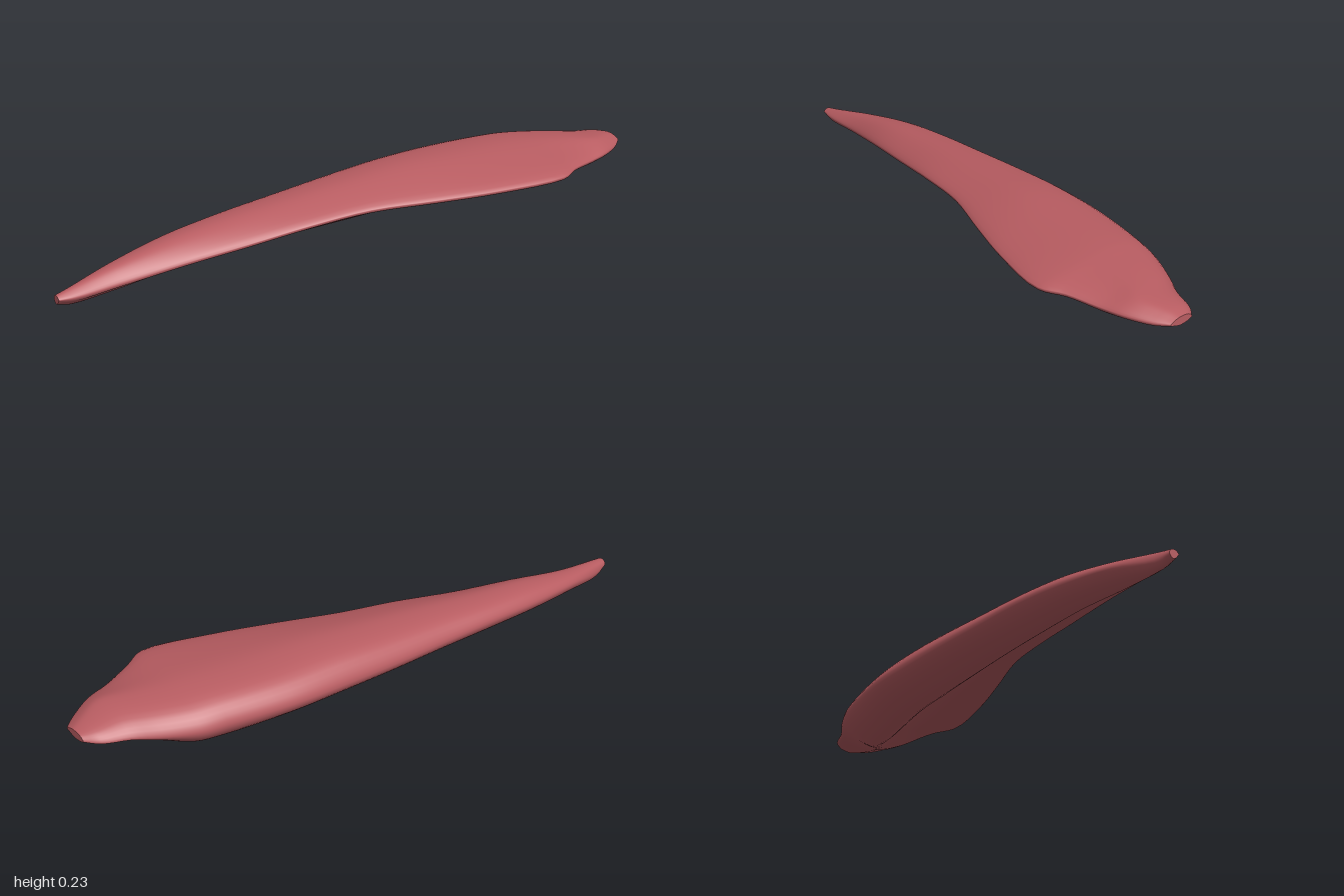
import * as THREE from 'three';

// Stations along the belly: z, thin edge x y, crest x y, outer side x y, lower ridge x y
const STATIONS = [
  [1.0, -0.165, 0.04, -0.18, 0.05, -0.2, 0.035, -0.185, 0.02],
  [0.95, -0.155, 0.04, -0.185, 0.06, -0.212, 0.03, -0.195, 0.002],
  [0.8, -0.14, 0.05, -0.19, 0.09, -0.24, 0.06, -0.185, 0.01],
  [0.6, -0.095, 0.08, -0.18, 0.13, -0.26, 0.085, -0.18, 0.025],
  [0.4, -0.05, 0.105, -0.165, 0.155, -0.262, 0.105, -0.165, 0.035],
  [0.2, 0.0, 0.135, -0.14, 0.178, -0.256, 0.115, -0.145, 0.045],
  [0.0, 0.05, 0.155, -0.115, 0.2, -0.25, 0.125, -0.125, 0.05],
  [-0.2, 0.13, 0.165, -0.09, 0.22, -0.238, 0.135, -0.105, 0.055],
  [-0.4, 0.205, 0.175, -0.06, 0.226, -0.22, 0.145, -0.085, 0.058],
  [-0.62, 0.26, 0.187, -0.02, 0.23, -0.172, 0.15, -0.04, 0.055],
  [-0.7, 0.225, 0.187, 0.01, 0.226, -0.15, 0.15, -0.02, 0.065],
  [-0.8, 0.195, 0.18, 0.06, 0.22, -0.1, 0.155, 0.04, 0.105],
  [-0.88, 0.175, 0.18, 0.1, 0.213, -0.05, 0.16, 0.07, 0.135],
  [-0.96, 0.135, 0.175, 0.075, 0.2, -0.015, 0.165, 0.07, 0.15],
  [-1.0, 0.105, 0.175, 0.065, 0.188, 0.02, 0.172, 0.065, 0.16],
];
const AROUND = 48;
const STEPS = 4;

const mix = THREE.MathUtils.lerp;

// Closed cross-section: domed top, rounded outer side, hollow underside
function section([z, rx, ry, tx, ty, lx, ly, bx, by]) {
  const hollow = THREE.MathUtils.smoothstep(z, -0.8, -0.66)
    * (1 - THREE.MathUtils.smoothstep(z, 0.6, 0.95));
  const rim = Math.min(0.012, (ty - by) * 0.2);
  const points = [
    [rx, ry],
    [mix(rx, tx, 0.5), mix(ry, ty, 0.72)],
    [tx, ty],
    [mix(lx, tx, 0.27), mix(ly, ty, 0.72)],
    [lx, ly],
    [mix(lx, bx, 0.3), mix(by, ly, 0.35)],
    [bx, by],
    [mix(bx, rx, 0.28), mix(by, ry, mix(0.12, 0.55, hollow))],
    [mix(bx, rx, 0.62), mix(by, ry, mix(0.42, 0.88, hollow))],
    [rx - 0.004, ry - rim],
  ].map(([x, y]) => new THREE.Vector3(x, y, z));
  return new THREE.CatmullRomCurve3(points, true, 'centripetal').getPoints(AROUND).slice(0, AROUND);
}

function bellyGeometry() {
  // Smooth lengthwise strands through matching points of every section
  const sections = STATIONS.map(section);
  const strands = sections[0].map((_, j) =>
    new THREE.CatmullRomCurve3(sections.map((s) => s[j]), false, 'centripetal')
      .getPoints((STATIONS.length - 1) * STEPS));
  const rows = strands[0].length;
  const positions = [];
  const index = [];
  for (let i = 0; i < rows; i++) {
    for (let j = 0; j < AROUND; j++) positions.push(...strands[j][i].toArray());
  }
  for (let i = 0; i < rows - 1; i++) {
    for (let j = 0; j < AROUND; j++) {
      const k = (j + 1) % AROUND;
      const a = i * AROUND + j, b = i * AROUND + k;
      const c = a + AROUND, d = b + AROUND;
      index.push(a, c, b, b, c, d);
    }
  }
  // Blunt tendon ends with their own vertices for a crisp edge
  for (const [row, front] of [[0, true], [rows - 1, false]]) {
    const start = positions.length / 3;
    const centre = new THREE.Vector3();
    for (let j = 0; j < AROUND; j++) {
      positions.push(...strands[j][row].toArray());
      centre.addScaledVector(strands[j][row], 1 / AROUND);
    }
    positions.push(...centre.toArray());
    for (let j = 0; j < AROUND; j++) {
      const a = start + j, b = start + (j + 1) % AROUND;
      index.push(start + AROUND, front ? a : b, front ? b : a);
    }
  }
  const geometry = new THREE.BufferGeometry();
  geometry.setAttribute('position', new THREE.Float32BufferAttribute(positions, 3));
  geometry.setIndex(index);
  geometry.computeVertexNormals();
  return geometry;
}

export function createModel() {
  const group = new THREE.Group();
  group.name = 'muscle';
  const fleshRed = new THREE.MeshStandardMaterial({ color: 0xb95d62 });
  fleshRed.name = 'flesh red';
  const belly = new THREE.Mesh(bellyGeometry(), fleshRed);
  belly.name = 'muscleBelly';
  group.add(belly);
  return group;
}
